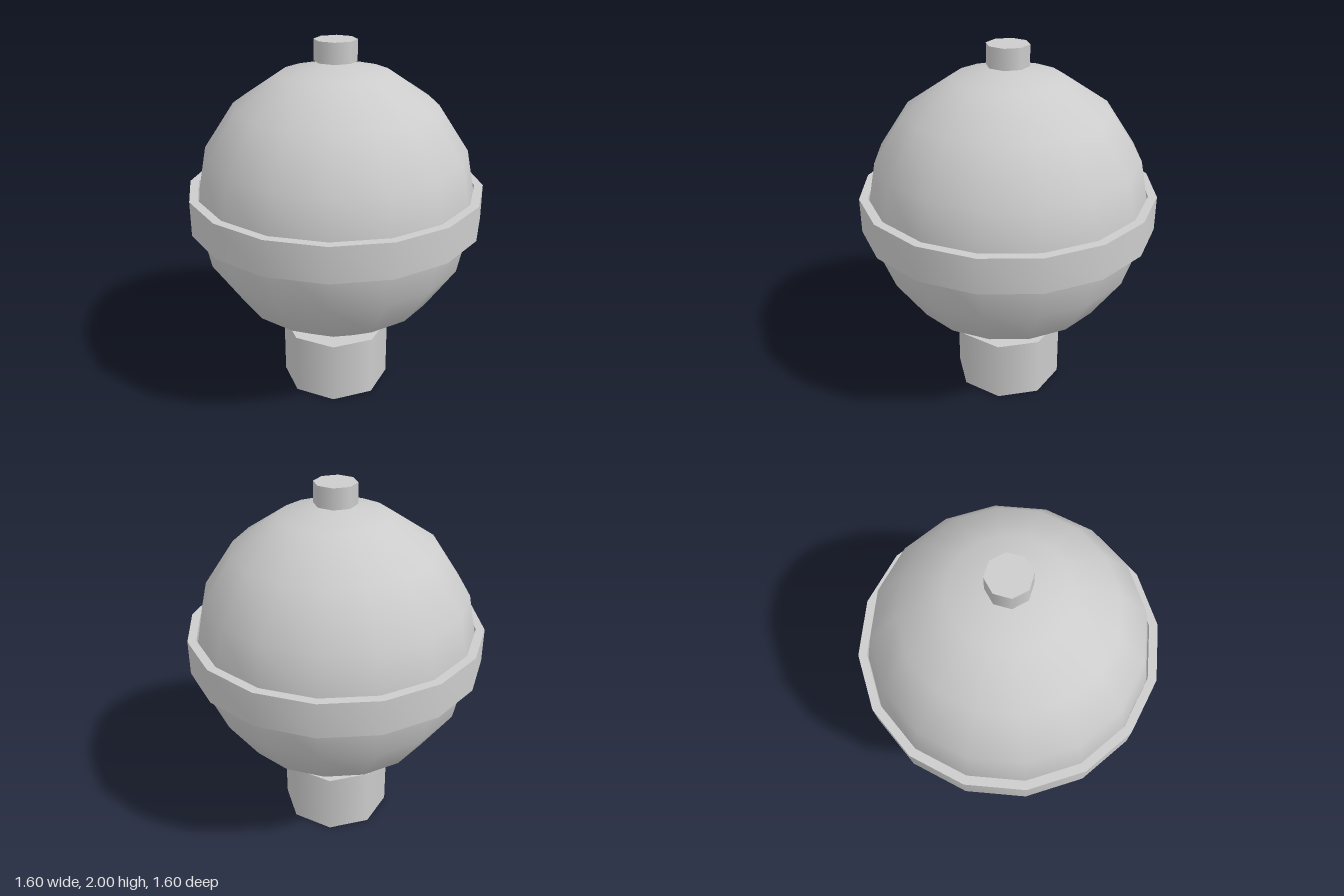
import * as THREE from 'three';
import { toCreasedNormals } from 'three/addons/utils/BufferGeometryUtils.js';

export function createModel() {
  const group = new THREE.Group();
  const grey = new THREE.MeshStandardMaterial({ color: 0xcccccc });
  grey.name = 'light grey';

  function add(name, geometry, y) {
    const mesh = new THREE.Mesh(geometry, grey);
    mesh.name = name;
    mesh.position.y = y;
    group.add(mesh);
  }

  // Octagonal foot and top knob
  add('base', new THREE.CylinderGeometry(0.305, 0.305, 0.354, 8), 0.177);
  add('topKnob', new THREE.CylinderGeometry(0.113, 0.113, 0.11, 8), 1.945);

  // Round body
  add('globe', new THREE.SphereGeometry(0.765, 16, 8), 1.123);

  // Band around the middle: a rectangular section turned about the axis
  const section = [[0.755, -0.096], [0.802, -0.096], [0.802, 0.096], [0.755, 0.096], [0.755, -0.096]]
    .map(([r, y]) => new THREE.Vector2(r, y));
  add('equatorBand', toCreasedNormals(new THREE.LatheGeometry(section, 16), 0.6), 1.123);

  return group;
}
